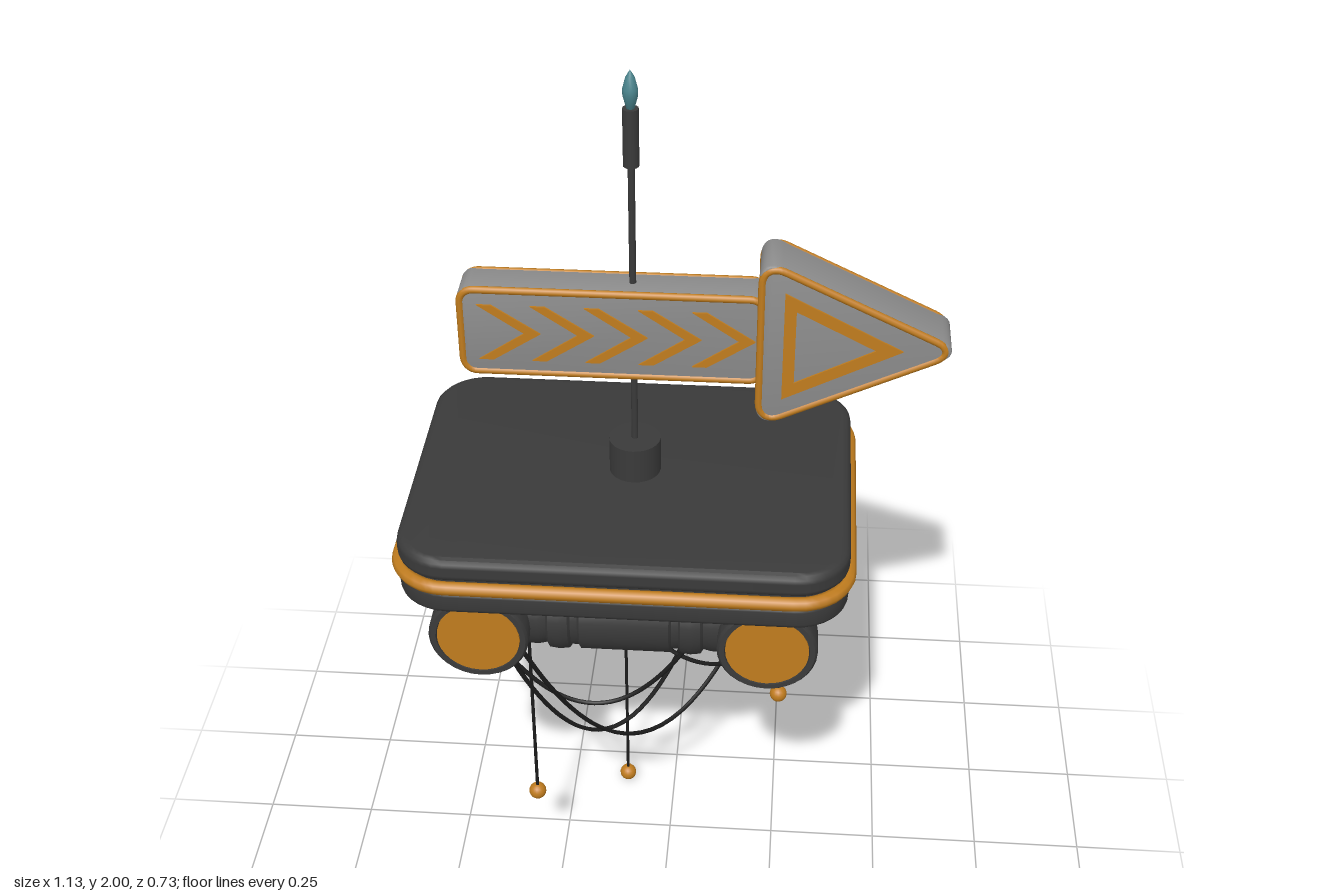
import * as THREE from 'three';
import { toCreasedNormals } from 'three/addons/utils/BufferGeometryUtils.js';

const mat = (color) => new THREE.MeshStandardMaterial({ color });
const dark = mat(0x3a3a3a), grey = mat(0x8c8c8c), orange = mat(0xc07c1e), black = mat(0x1c1c1c), teal = mat(0x4a858e);
const CX = -0.08, CZ = -0.008, POLE_X = -0.075, SIGN_Y = 1.442;

function add(parent, name, geometry, material, x = 0, y = 0, z = 0) {
  const mesh = new THREE.Mesh(geometry, material);
  mesh.name = name;
  mesh.position.set(x, y, z);
  parent.add(mesh);
  return mesh;
}

// Polygon with rounded corners
function roundedShape(points, radius) {
  const shape = new THREE.Shape();
  const pts = points.map((p) => new THREE.Vector2(...p));
  pts.forEach((p, i) => {
    const prev = pts[(i + pts.length - 1) % pts.length], next = pts[(i + 1) % pts.length];
    const a = p.clone().add(prev.clone().sub(p).setLength(radius));
    const b = p.clone().add(next.clone().sub(p).setLength(radius));
    if (i === 0) shape.moveTo(a.x, a.y); else shape.lineTo(a.x, a.y);
    shape.bezierCurveTo(...a.lerp(p, 0.55).toArray(), ...b.clone().lerp(p, 0.55).toArray(), b.x, b.y);
  });
  shape.closePath();
  return shape;
}
const rect = (w, h) => [[-w, -h], [w, -h], [w, h], [-w, h]];

// Extrusion centred on z = 0, bevel kept inside the outline
function slab(shape, depth, bevel = 0) {
  const g = new THREE.ExtrudeGeometry(shape, {
    depth: depth - 2 * bevel, curveSegments: 8, bevelEnabled: bevel > 0,
    bevelThickness: bevel, bevelSize: bevel, bevelOffset: -bevel, bevelSegments: 3,
  });
  g.translate(0, 0, bevel - depth / 2);
  return toCreasedNormals(g, 0.6);
}

// Closed tube following a shape outline
function rim(shape, radius) {
  const path = new THREE.CurvePath();
  const pts = shape.getPoints(8).map((p) => new THREE.Vector3(p.x, p.y, 0));
  pts.forEach((p, i) => {
    const q = pts[(i + 1) % pts.length];
    if (p.distanceTo(q) > 1e-5) path.add(new THREE.LineCurve3(p, q));
  });
  return new THREE.TubeGeometry(path, 240, radius, 8, true);
}

// Ribbed barrel along z with a coloured disc at both ends
function barrel(capped) {
  const g = new THREE.Group();
  const half = [[0.1, 0.095], [0.092, 0.1], [0.092, 0.115], [0.1, 0.12], [0.103, 0.14], [0.1, 0.162],
    [0.09, 0.168], [0.094, 0.185], [0.094, 0.222], [0.1, 0.232], [0.106, 0.238], [0.106, 0.297],
    [0.101, 0.303], [0.09, 0.303], [0.088, 0.29], [0, 0.29]];
  const profile = [...half.map(([r, h]) => new THREE.Vector2(r, -h)).reverse(),
    ...half.map(([r, h]) => new THREE.Vector2(r, h))];
  const body = toCreasedNormals(new THREE.LatheGeometry(profile, 32).rotateX(Math.PI / 2), 0.7);
  add(g, 'barrelBody', body, dark);
  if (capped) for (const s of [-1, 1]) {
    add(g, 'barrelCap', new THREE.CylinderGeometry(0.088, 0.088, 0.012, 32).rotateX(Math.PI / 2), orange, 0, 0, s * 0.295);
  }
  return g;
}

function platform() {
  const g = new THREE.Group();
  g.name = 'platform';
  const flat = (geo) => geo.rotateX(-Math.PI / 2);
  const outline = roundedShape(rect(0.468, 0.348), 0.11);
  add(g, 'upperSlab', flat(slab(outline, 0.055, 0.018)), dark, CX, 1.0575, CZ + 0.004);
  add(g, 'lowerSlab', flat(slab(outline, 0.055, 0.012)), dark, CX, 0.9775, CZ + 0.004);
  add(g, 'slabCore', flat(slab(roundedShape(rect(0.46, 0.34), 0.11), 0.06)), dark, CX, 1.018, CZ + 0.004);
  add(g, 'platformTrim', flat(rim(roundedShape(rect(0.467, 0.348), 0.11), 0.015)), orange, CX, 1.018, CZ + 0.004);
  return g;
}

function undercarriage() {
  const g = new THREE.Group();
  g.name = 'undercarriage';
  for (const s of [-1, 1]) {
    const side = barrel(true);
    side.name = 'sideBarrel';
    side.position.set(CX + s * 0.305, 0.84, CZ - 0.003);
    const cross = barrel(false);
    cross.name = 'crossBarrel';
    cross.rotation.y = Math.PI / 2;
    cross.position.set(CX, 0.843, CZ + s * 0.165);
    g.add(side, cross);
  }
  return g;
}

function arrowSign() {
  const g = new THREE.Group();
  g.name = 'arrowSign';
  g.position.set(0, SIGN_Y, CZ);
  // Shaft and head, each with a coloured rim on both faces
  const shaftX = -0.115, headX = 0.18;
  const shaft = (i) => roundedShape(rect(0.313 - i, 0.101 - i), 0.028);
  const head = (i) => roundedShape([[i, -0.2 + 1.6 * i], [0.415 - 2.2 * i, 0], [i, 0.2 - 1.6 * i]], 0.05);
  add(g, 'arrowShaft', slab(shaft(0), 0.086, 0.006), grey, shaftX);
  add(g, 'arrowHead', slab(head(0), 0.116, 0.006), grey, headX);
  // Triangle outline on the head
  const tri = new THREE.Shape([[0.232, -0.124], [0.472, 0], [0.232, 0.124]].map((p) => new THREE.Vector2(...p)));
  tri.holes.push(new THREE.Path([[0.256, -0.084], [0.256, 0.084], [0.418, 0]].map((p) => new THREE.Vector2(...p))));
  // Chevron stroke
  const chevron = new THREE.Shape([[0, 0.064], [0.095, 0], [0, -0.064], [0.03, -0.064], [0.128, 0], [0.03, 0.064]]
    .map((p) => new THREE.Vector2(...p)));
  for (const s of [-1, 1]) {
    add(g, 'shaftRim', rim(shaft(0.006), 0.008), orange, shaftX, 0, s * 0.039);
    add(g, 'headRim', rim(head(0.006), 0.008), orange, headX, 0, s * 0.054);
    add(g, 'headTriangle', slab(tri, 0.01), orange, 0, 0, s * 0.057);
    for (let i = 0; i < 5; i++) {
      add(g, 'chevron', slab(chevron, 0.01), orange, -0.388 + i * 0.109, 0, s * 0.042);
    }
  }
  return g;
}

function mast() {
  const g = new THREE.Group();
  g.name = 'mast';
  g.position.set(POLE_X, 0, CZ - 0.002);
  add(g, 'mastSocket', new THREE.CylinderGeometry(0.055, 0.055, 0.09, 24), dark, 0, 1.12);
  add(g, 'pole', new THREE.CylinderGeometry(0.007, 0.007, 0.8, 12), dark, 0, 1.5);
  add(g, 'mastGrip', new THREE.CylinderGeometry(0.016, 0.016, 0.12, 16), dark, 0, 1.862);
  const tip = [[0, 0], [0.008, 0.002], [0.015, 0.028], [0.015, 0.042], [0.009, 0.065], [0, 0.08]];
  add(g, 'mastTip', new THREE.LatheGeometry(tip.map((p) => new THREE.Vector2(...p)), 16), teal, 0, 1.92);
  return g;
}

function cables() {
  const g = new THREE.Group();
  g.name = 'cables';
  // Sagging cables: start x, z, end x, z, lowest y
  const sags = [
    [-0.41, 0.16, 0.09, 0.14, 0.54],
    [-0.34, 0.25, 0.1, -0.06, 0.42],
    [-0.3, 0.26, 0.26, -0.25, 0.345],
    [-0.22, -0.16, 0.26, 0.17, 0.57],
    [0.07, -0.17, 0.26, -0.12, 0.57],
  ];
  for (const [x0, z0, x1, z1, low] of sags) {
    const pts = [];
    for (let i = 0; i <= 12; i++) {
      const t = i / 12, k = 2 * t - 1;
      pts.push(new THREE.Vector3(x0 + (x1 - x0) * t, low + (0.79 - low) * k * k, z0 + (z1 - z0) * t));
    }
    add(g, 'saggingCable', new THREE.TubeGeometry(new THREE.CatmullRomCurve3(pts), 40, 0.005, 6), black);
  }
  // Straight drop wires with beads
  for (const [x, y, z] of [[-0.3, 0.256, 0.152], [-0.118, 0.021, -0.16], [0.253, 0.433, -0.03]]) {
    add(g, 'dropWire', new THREE.CylinderGeometry(0.004, 0.004, 0.8 - y, 6), black, x, (0.8 + y) / 2, z);
    add(g, 'bead', new THREE.SphereGeometry(0.02, 16, 12), orange, x, y, z);
  }
  return g;
}

export function createModel() {
  const model = new THREE.Group();
  model.name = 'hoveringSignpost';
  model.add(platform(), undercarriage(), arrowSign(), mast(), cables());
  return model;
}
